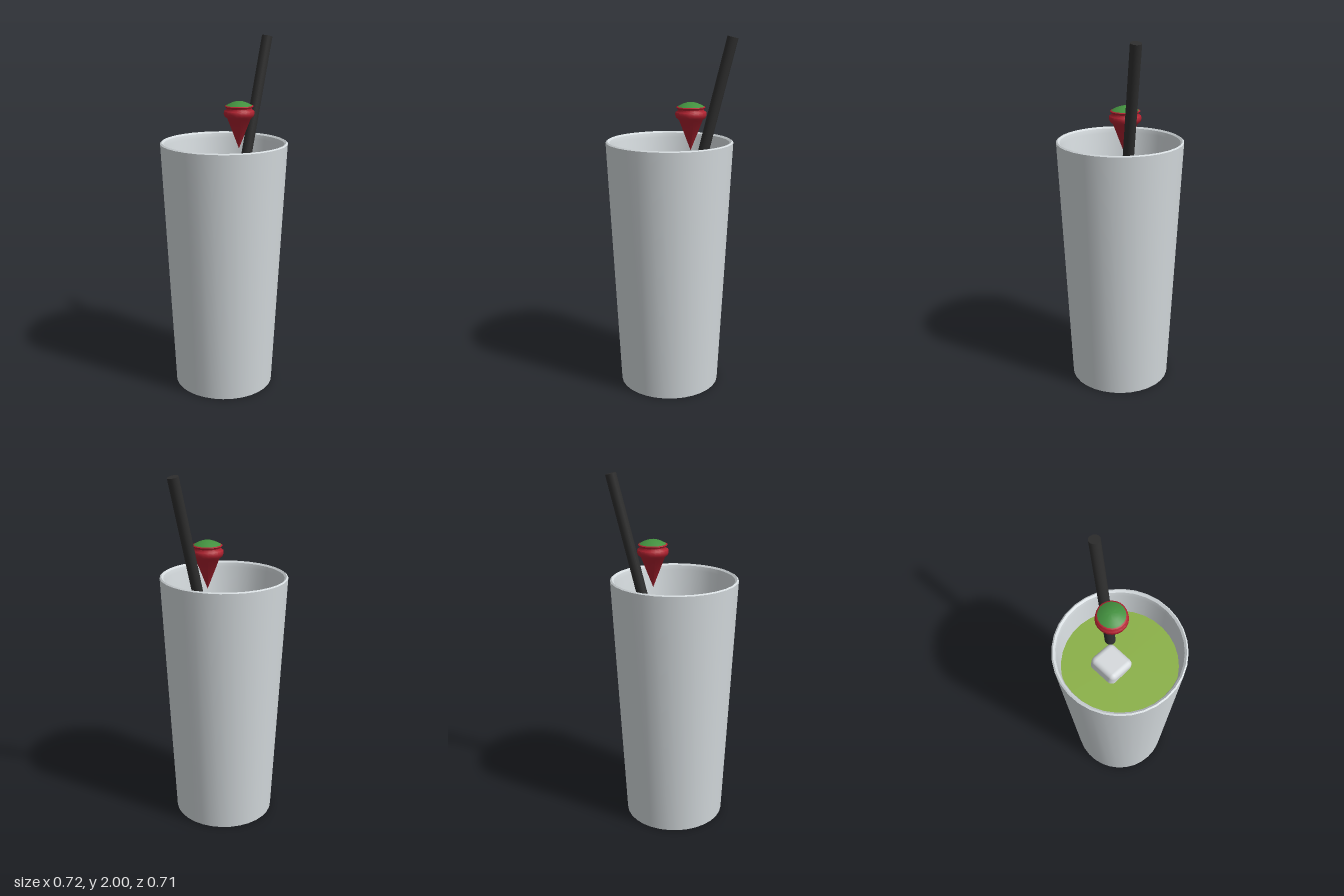
import * as THREE from 'three';
import { toCreasedNormals } from 'three/addons/utils/BufferGeometryUtils.js';
import { RoundedBoxGeometry } from 'three/addons/geometries/RoundedBoxGeometry.js';

const mat = (name, color) => {
  const m = new THREE.MeshStandardMaterial({ color });
  m.name = name;
  return m;
};

// Profile points run from bottom to top on the outside
const lathe = (points, sides, crease = 0.6) =>
  toCreasedNormals(
    new THREE.LatheGeometry(points.map(([r, y]) => new THREE.Vector2(r, y)), sides),
    crease
  );

export function createModel() {
  const group = new THREE.Group();
  const glassGrey = mat('glass grey', 0xd3d9dc);
  const drinkGreen = mat('drink green', 0x8ab046);
  const iceWhite = mat('ice white', 0xd6dadd);
  const strawBlack = mat('straw black', 0x2e2e2e);
  const berryRed = mat('berry red', 0xb02230);
  const leafGreen = mat('leaf green', 0x43913f);

  const add = (name, geometry, material, x = 0, y = 0, z = 0) => {
    const mesh = new THREE.Mesh(geometry, material);
    mesh.name = name;
    mesh.position.set(x, y, z);
    group.add(mesh);
    return mesh;
  };
  const cx = -0.007;

  // Tapered glass with a solid base, bevelled lip and inner wall
  add('glass', lathe([
    [0, 0], [0.285, 0], [0.3535, 1.428], [0.345, 1.434], [0.334, 1.425],
    [0.327, 1.4], [0.262, 0.06], [0, 0.06],
  ], 32), glassGrey, cx);

  // Drink filling the glass
  add('drink', new THREE.CylinderGeometry(0.319, 0.26, 1.165, 32), drinkGreen, cx, 0.6475);

  // Tilted ice cube breaking the surface
  const ice = add('iceCube', new RoundedBoxGeometry(0.175, 0.16, 0.165, 3, 0.03), iceWhite, 0.005, 1.205, -0.05);
  ice.rotation.set(0.2, 0.45, 0, 'YXZ');

  // Straw leaning towards the left side of the glass
  const top = new THREE.Vector3(0.332, 1.992, 0);
  const bottom = new THREE.Vector3(-0.12, 0.13, 0);
  const axis = top.clone().sub(bottom);
  const straw = add('straw', new THREE.CylinderGeometry(0.03, 0.03, axis.length(), 20), strawBlack);
  straw.position.copy(top).add(bottom).multiplyScalar(0.5);
  straw.quaternion.setFromUnitVectors(new THREE.Vector3(0, 1, 0), axis.normalize());

  // Pointed berry with a swollen shoulder and a flared lip
  add('berry', lathe([
    [0, 1.38], [0.066, 1.55], [0.082, 1.563], [0.087, 1.578], [0.085, 1.592],
    [0.072, 1.6], [0.071, 1.606], [0.081, 1.618], [0.077, 1.622], [0, 1.622],
  ], 20, 0.9), berryRed, 0.111);

  // Domed leaf cap
  add('leafCap', lathe([
    [0.078, 1.619], [0.06, 1.63], [0.04, 1.639], [0.02, 1.645], [0, 1.646],
  ], 20, 0.9), leafGreen, 0.111);

  return group;
}
